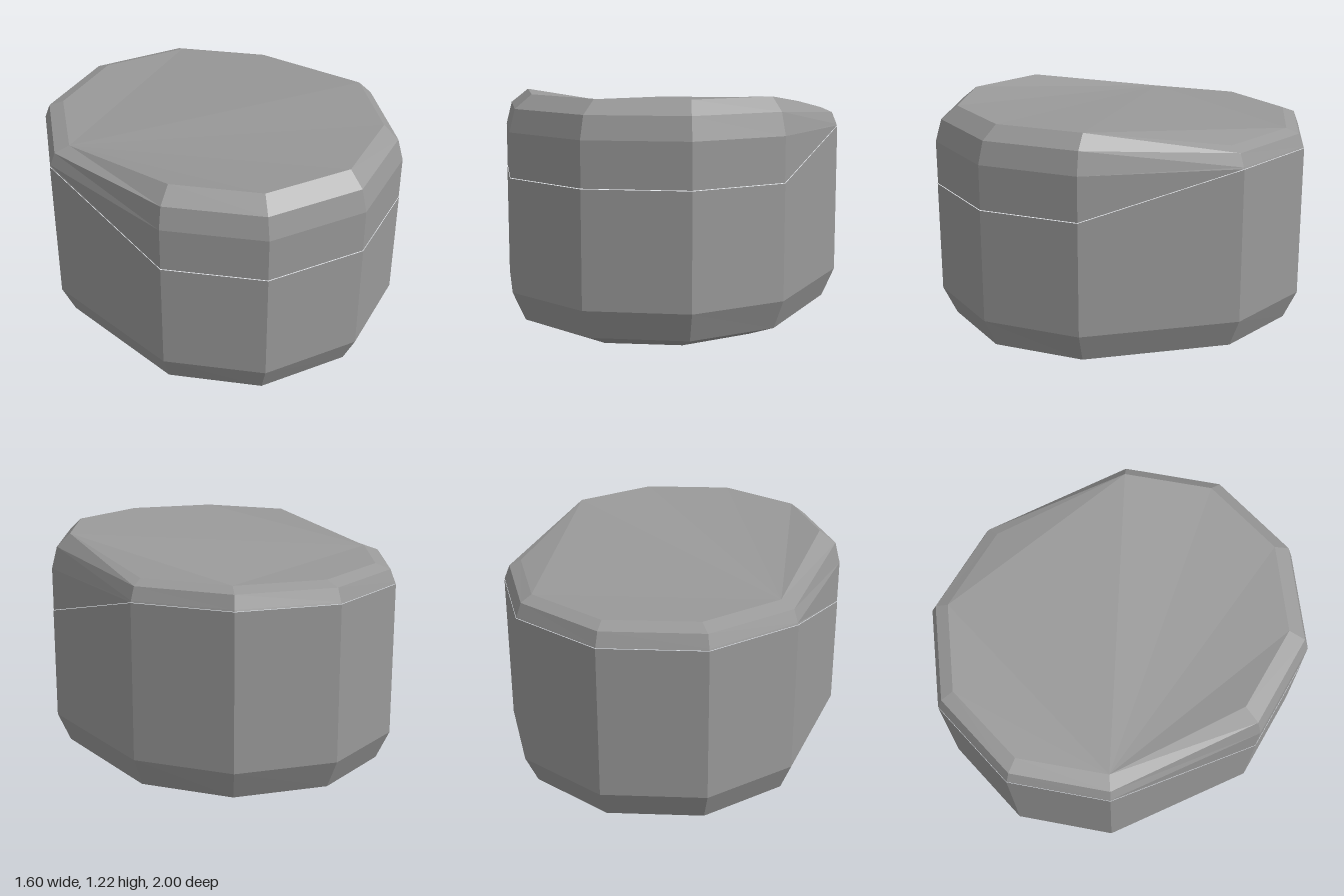
import * as THREE from 'three';

// Ten-sided outline, starting at the back right corner and going round by the back
const outline = [
  [-0.8, -0.41], [-0.5, -0.835], [0, -1], [0.5, -0.835], [0.8, -0.41],
  [0.8, 0.41], [0.5, 0.835], [0, 1], [-0.5, 0.835], [-0.8, 0.41],
];
const N = outline.length;

// One ring; front and back halves have their own [scaleX, scaleZ, height]
function ring(front, back = front, shiftX = 0) {
  return outline.map(([x, z]) => {
    const [sx, sz, y] = z > 0 ? front : back;
    return new THREE.Vector3(x * sx + shiftX, y, z * sz);
  });
}

// Joins consecutive rings with facets
function wall(rings) {
  const tris = [];
  for (let r = 0; r + 1 < rings.length; r++) {
    const b = rings[r], t = rings[r + 1];
    for (let i = 0; i < N; i++) {
      const j = (i + 1) % N;
      tris.push([b[i], t[i], t[j]], [b[i], t[j], b[j]]);
    }
  }
  return tris;
}

// Triangle fan from the first point
function fan(points, up) {
  const tris = [];
  for (let i = 1; i + 1 < points.length; i++) {
    tris.push(up ? [points[0], points[i + 1], points[i]] : [points[0], points[i], points[i + 1]]);
  }
  return tris;
}

function makeMesh(name, tris, material) {
  const geometry = new THREE.BufferGeometry().setFromPoints(tris.flat());
  geometry.computeVertexNormals();
  const mesh = new THREE.Mesh(geometry, material);
  mesh.name = name;
  return mesh;
}

export function createModel() {
  const grey = new THREE.MeshStandardMaterial({ color: 0x999999 });
  grey.name = 'grey';
  const group = new THREE.Group();
  group.name = 'liddedBox';

  // Body: chamfered base and straight walls up to the stepped seam
  const body = [
    ring([0.73, 0.78, 0]),
    ring([0.925, 0.93, 0.065]),
    ring([1, 1, 0.215]),
    ring([1, 1, 0.8], [1, 1, 1.01]),
  ];
  group.add(makeMesh('body', [...wall(body), ...fan(body[0], false)], grey));

  // Lid: deep at the front, shallow at the back, with a rounded rim
  const lid = [
    ring([0.998, 0.998, 0.803], [0.998, 0.998, 1.012]),
    ring([0.998, 0.998, 1.03], [0.995, 0.995, 1.02]),
    ring([0.965, 0.965, 1.145], [0.965, 0.97, 1.085]),
    ring([0.875, 0.88, 1.215], [0.885, 0.9, 1.112], 0.01),
  ];
  // Sloping top folds from the back right corner, with one dropped corner on the left
  const top = lid[3];
  const cap = fan(top.filter((_, i) => i !== 4), true);
  cap.push([top[3], top[5], top[4]]);
  group.add(makeMesh('lid', [...wall(lid), ...cap], grey));

  return group;
}
